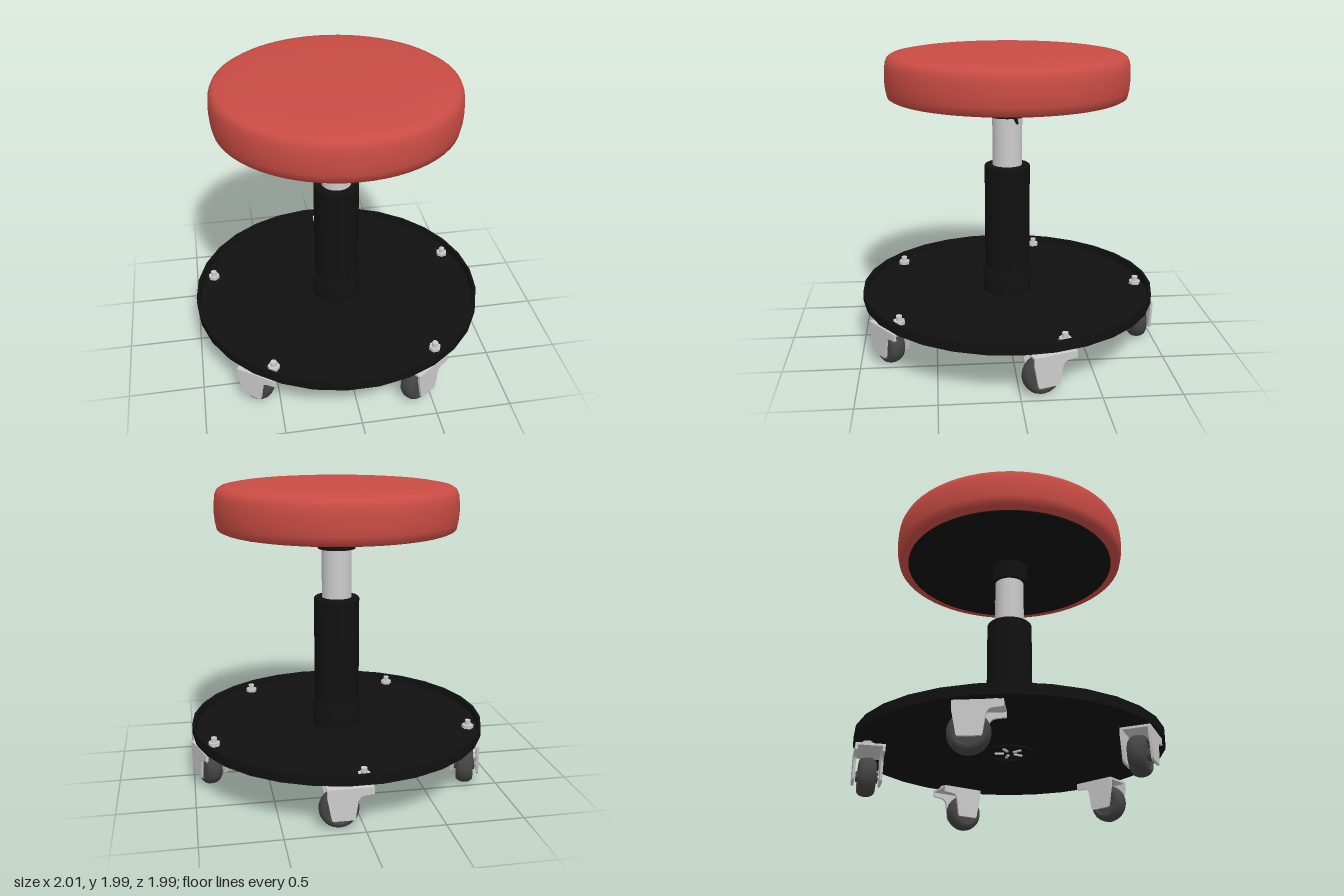
import * as THREE from 'three';
import { toCreasedNormals } from 'three/addons/utils/BufferGeometryUtils.js';

const mat = (color) => new THREE.MeshStandardMaterial({ color });
const grey = mat(0xcccccc);
const black = mat(0x111111);
const red = mat(0xc94c44);
const rubber = mat(0x444444);

function add(parent, name, geometry, material, x = 0, y = 0, z = 0) {
  const mesh = new THREE.Mesh(geometry, material);
  mesh.name = name;
  mesh.position.set(x, y, z);
  parent.add(mesh);
  return mesh;
}

// Turned part from [radius, height] pairs, listed from the bottom up
function turned(points, segments = 48, crease = 0.6) {
  const profile = points.map(([r, y]) => new THREE.Vector2(r, y));
  const geometry = new THREE.LatheGeometry(profile, segments);
  return toCreasedNormals(geometry.rotateY(Math.PI / 2), crease);
}

// Solid cylinder between two heights
function post(radius, y0, y1, segments = 48) {
  return new THREE.CylinderGeometry(radius, radius, y1 - y0, segments).translate(0, (y0 + y1) / 2, 0);
}

// Cheek plate of a caster fork, extruded across the wheel
function cheekGeometry(thickness) {
  const s = new THREE.Shape();
  s.moveTo(-0.05, 0.285);
  s.lineTo(-0.05, 0.24);
  s.lineTo(0.01, 0.235);
  s.quadraticCurveTo(0.045, 0.23, 0.05, 0.19);
  s.lineTo(0.065, 0.09);
  s.quadraticCurveTo(0.067, 0.078, 0.08, 0.078);
  s.lineTo(0.195, 0.078);
  s.quadraticCurveTo(0.207, 0.078, 0.21, 0.09);
  s.lineTo(0.238, 0.235);
  s.lineTo(0.238, 0.285);
  s.closePath();
  const g = new THREE.ExtrudeGeometry(s, { depth: thickness, bevelEnabled: false, curveSegments: 6 });
  return toCreasedNormals(g.translate(0, 0, -thickness / 2), 0.5);
}

// Swivel caster: stud on the local origin, wheel trailing towards +x
function makeCaster() {
  const caster = new THREE.Group();
  caster.name = 'caster';
  const mid = 0.017;
  add(caster, 'forkTop', new THREE.BoxGeometry(0.287, 0.015, 0.18), grey, 0.094, 0.2775, mid);
  for (const side of [-1, 1]) {
    add(caster, 'forkCheek', cheekGeometry(0.016), grey, 0, 0, mid + side * 0.085);
  }
  add(caster, 'swivelWasher', post(0.035, 0.284, 0.306, 6), grey);
  add(caster, 'nut', post(0.04, 0.324, 0.35, 6), grey);
  add(caster, 'stud', post(0.02, 0.3, 0.382, 16), grey);

  // Rounded tyre with a dished side and raised hub
  const half = [[0, 0.068], [0.035, 0.068], [0.035, 0.046], [0.078, 0.046], [0.086, 0.056],
    [0.1, 0.054], [0.113, 0.043], [0.122, 0.024]];
  const profile = [...half.map(([r, w]) => [r, -w]), [0.125, 0], ...half.slice().reverse()];
  const wheel = add(caster, 'wheel', turned(profile, 40, 0.7), rubber, 0.15, 0.125, mid);
  wheel.rotation.x = Math.PI / 2;
  const axle = add(caster, 'axle', post(0.014, -0.09, 0.09, 16), grey, 0.15, 0.125, mid);
  axle.rotation.x = Math.PI / 2;
  return caster;
}

export function createModel() {
  const stool = new THREE.Group();
  stool.name = 'rollingStool';

  // Cushion and its backing board
  add(stool, 'cushion', turned([
    [0, 1.692], [0.77, 1.692], [0.785, 1.7], [0.796, 1.75], [0.801, 1.81], [0.799, 1.87],
    [0.793, 1.92], [0.78, 1.95], [0.755, 1.966], [0.7, 1.976], [0.55, 1.984], [0.3, 1.988], [0, 1.99],
  ], 64, 0.9), red);
  add(stool, 'seatBoard', post(0.72, 1.686, 1.7, 64), black);

  // Height-adjustable column
  add(stool, 'seatCollar', post(0.126, 1.555, 1.695), black);
  add(stool, 'piston', post(0.1, 1.2, 1.57), grey);
  add(stool, 'columnTube', turned([
    [0, 0.32], [0.153, 0.32], [0.153, 1.217], [0.146, 1.225], [0, 1.225],
  ]), black);
  add(stool, 'columnSocket', turned([
    [0.13, 0.31], [0.13, 0.294], [0.165, 0.294], [0.165, 0.492], [0.16, 0.5], [0.15, 0.5],
  ]), black);

  // Spokes in the underside of the column
  for (let i = 0; i < 5; i++) {
    const a = (i / 5) * Math.PI * 2;
    const spoke = add(stool, 'hubSpoke', new THREE.BoxGeometry(0.06, 0.012, 0.018), grey,
      Math.cos(a) * 0.065, 0.303, -Math.sin(a) * 0.065);
    spoke.rotation.y = a;
  }

  // Release lever with a flat tapered grip
  const lever = new THREE.Group();
  lever.name = 'releaseLever';
  lever.position.set(0.1, 1.668, -0.01);
  lever.rotation.z = -0.1;
  add(lever, 'leverRod', new THREE.CylinderGeometry(0.009, 0.009, 0.34, 10).rotateZ(Math.PI / 2), grey, 0.17);
  add(lever, 'leverGrip', new THREE.CylinderGeometry(0.009, 0.015, 0.16, 12).rotateZ(-Math.PI / 2), black, 0.395);
  stool.add(lever);

  // Shallow tray base with an upturned rim
  add(stool, 'baseTray', turned([
    [0, 0.306], [1, 0.306], [1, 0.374], [0.982, 0.374], [0.976, 0.326], [0, 0.326],
  ], 30, 0.4), black);

  // Five casters around the base
  for (let i = 0; i < 5; i++) {
    const arm = new THREE.Group();
    arm.name = 'casterMount';
    const caster = makeCaster();
    caster.position.z = -0.91;
    arm.add(caster);
    arm.rotation.y = (-i * Math.PI * 2) / 5;
    stool.add(arm);
  }
  return stool;
}
